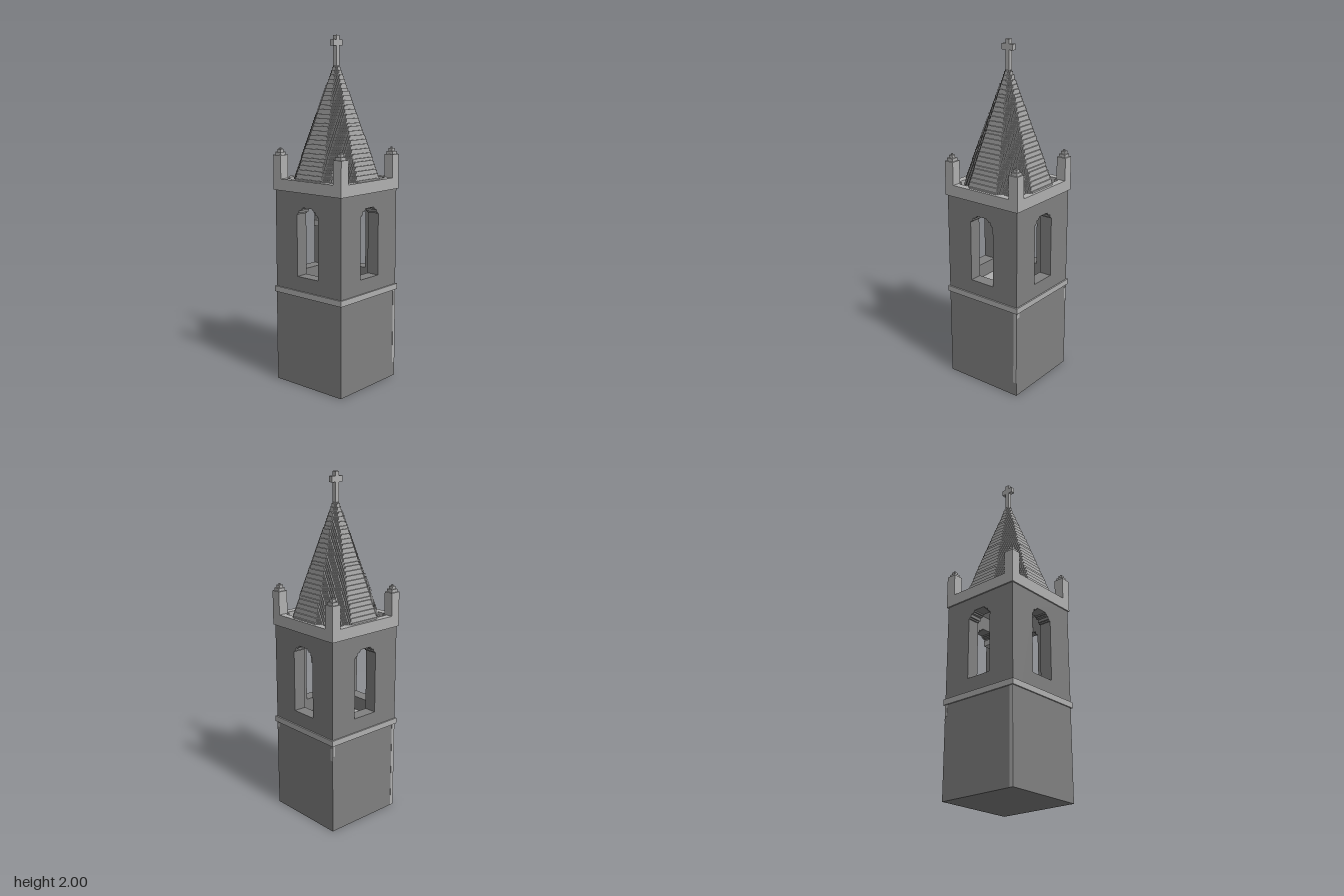
import * as THREE from 'three';
import { mergeGeometries } from 'three/addons/utils/BufferGeometryUtils.js';

const stone = new THREE.MeshStandardMaterial({ color: 0x808080 });
stone.name = 'dark stone';
const trim = new THREE.MeshStandardMaterial({ color: 0xb0b0b0 });
trim.name = 'pale stone';

// All sizes below are in blocks; 120 blocks make one unit.
function box(w, h, d, x, y, z) { // y is the underside
  return new THREE.BoxGeometry(w, h, d).translate(x, y + h / 2, z);
}

// Stepped outline: halfWidth(j) gives the half width of block row j.
function steppedShape(halfWidth, n) {
  const right = [];
  const add = (x, y) => {
    const p = right[right.length - 1];
    if (!p || p.x !== x || p.y !== y) right.push(new THREE.Vector2(x, y));
  };
  for (let j = -n; j <= n; j++) {
    const w = halfWidth(Math.abs(j));
    add(w, j - 0.5);
    add(w, j + 0.5);
  }
  const left = right.map(p => new THREE.Vector2(-p.x, p.y)).reverse();
  return new THREE.Shape([...right, ...left]);
}

// Horizontal slab of a shape, from y to y + h
function slab(shape, y, h) {
  return new THREE.ExtrudeGeometry(shape, { depth: h, bevelEnabled: false })
    .rotateX(-Math.PI / 2).translate(0, y, 0);
}

function disc(r, y, h) {
  const n = Math.floor(r);
  return slab(steppedShape(j => Math.floor(Math.sqrt(r * r - j * j)) + 0.5, n), y, h);
}

// Belfry wall with a stepped round-arched opening
function belfryWall(width) {
  const s = new THREE.Shape();
  s.moveTo(-width / 2, 68);
  s.lineTo(width / 2, 68);
  s.lineTo(width / 2, 136);
  s.lineTo(-width / 2, 136);
  s.closePath();
  const side = [new THREE.Vector2(9.5, 78)];
  let last = 9.5;
  for (let k = 0; k < 10; k++) {
    const w = Math.floor(Math.sqrt(9.9 * 9.9 - k * k)) + 0.5;
    if (w !== last) side.push(new THREE.Vector2(last, 116 + k), new THREE.Vector2(w, 116 + k));
    last = w;
  }
  side.push(new THREE.Vector2(last, 126));
  const mirror = side.map(p => new THREE.Vector2(-p.x, p.y)).reverse();
  s.holes.push(new THREE.Path([...side, ...mirror]));
  return new THREE.ExtrudeGeometry(s, { depth: 9, bevelEnabled: false }).translate(0, 0, 20.5);
}

export function createModel() {
  const model = new THREE.Group();
  model.name = 'bellTower';
  const tower = new THREE.Group();
  tower.name = 'tower';
  tower.scale.setScalar(1 / 120);
  model.add(tower);
  const part = (name, geometry, material) => {
    const m = new THREE.Mesh(geometry, material);
    m.name = name;
    tower.add(m);
    return m;
  };

  // Shaft and ledge
  part('shaft', box(59, 64, 59, 0, 0, 0), stone);
  part('ledge', box(61, 4, 61, 0, 64, 0), trim);

  // Pale corner strips: [x, bottom, z, width, height, depth]
  [[28.2, 10, 29.5, 2.6, 54, 0.3], [-28.2, 0, -29.5, 2.6, 64, 0.3],
    [28.5, 56, -29.5, 2, 8, 0.3], [29.5, 60, 28, 0.3, 3, 2.6],
    [29.5, 53, -28.5, 0.3, 9, 2]].forEach(([x, y, z, w, h, d]) =>
    part('cornerStrip', box(w, h, d, x, y, z), trim));

  // Belfry walls, one per side
  for (let i = 0; i < 4; i++) {
    part('belfryWall', belfryWall(i % 2 ? 41 : 59), stone).rotation.y = i * Math.PI / 2;
  }

  // Bell and its beam
  part('bellBeam', box(41, 4, 5, 0, 113, 0), trim);
  part('bellBody', disc(6.5, 101, 10), trim);
  part('bellRim', disc(8.7, 97, 4), trim);

  // Roof slab and parapet
  part('roofSlab', box(61, 1, 61, 0, 136, 0), trim);
  for (const s of [-1, 1]) {
    part('parapet', box(61, 7, 5, 0, 137, s * 28), trim);
    part('parapet', box(5, 7, 51, s * 28, 137, 0), trim);
  }

  // Corner pinnacles with stepped caps
  for (const x of [-27, 27]) {
    for (const z of [-27, 27]) {
      const c = Math.sign(x) * 26.5, e = Math.sign(z) * 26.5;
      part('pinnacle', mergeGeometries([
        box(8, 7, 8, c, 137, e),
        box(7, 16, 7, x, 144, z),
        box(5, 2, 5, x, 160, z),
        box(3, 2, 3, x, 162, z),
        box(1, 1, 1, x, 164, z),
      ]), trim);
    }
  }

  // Octagonal spire in block courses
  const courses = [];
  for (let y = 137; y < 221; y++) {
    const a = 31 - 0.348 * (y - 136);
    const limit = y < 144 ? 25 : 40; // stays inside the parapet
    const n = Math.min(Math.floor(a), limit);
    const half = j => Math.min(n, Math.floor(a * Math.SQRT2 - j)) + 0.5;
    courses.push(slab(steppedShape(half, n), y, 1));
  }
  part('spire', mergeGeometries(courses), trim);

  // Cross on the tip
  part('crossPost', box(3, 22, 3, 0, 218, 0), trim);
  for (const s of [-1, 1]) part('crossArm', box(3, 4, 3, s * 3, 233, 0), trim);
  return model;
}
